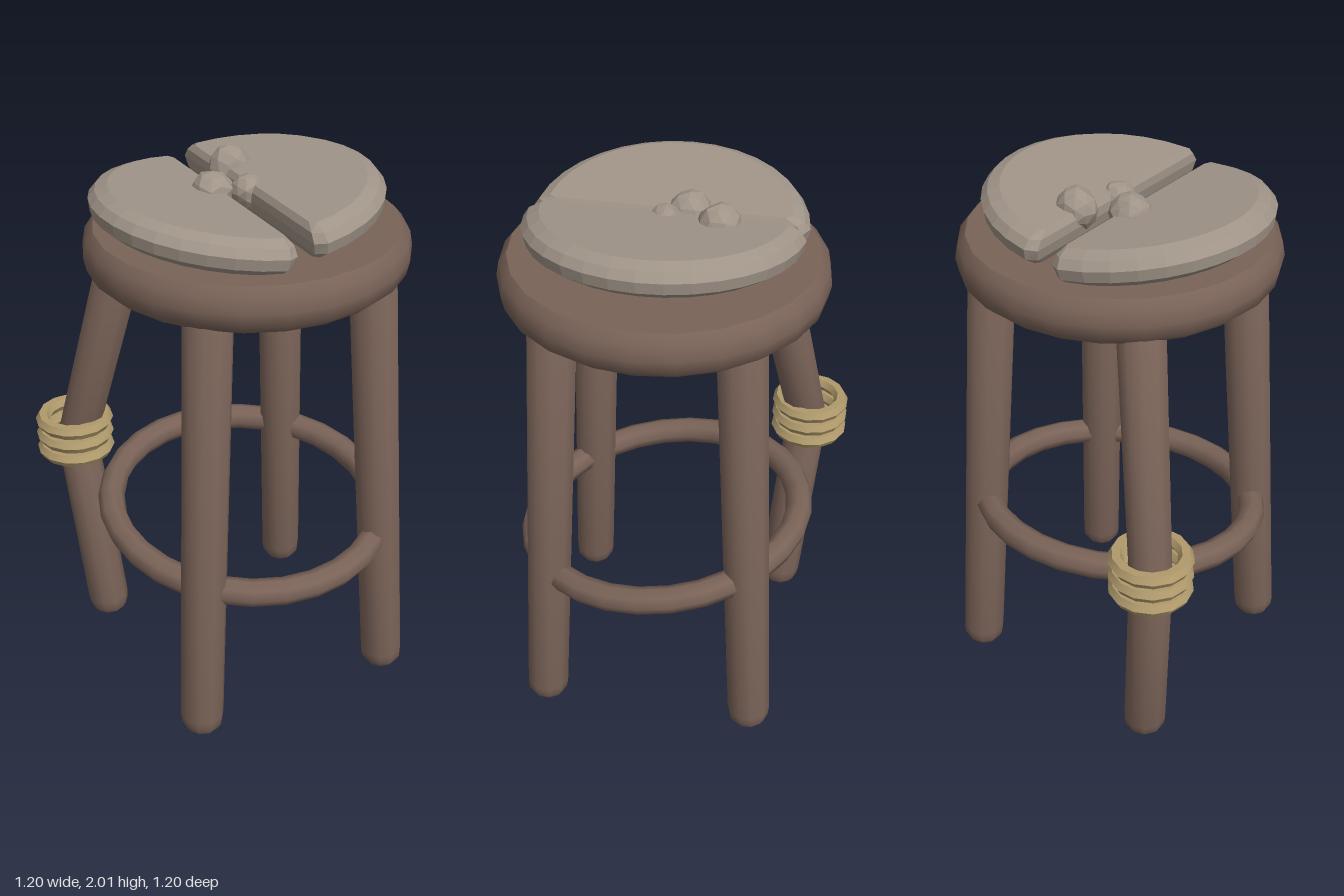
import * as THREE from 'three';
import { toCreasedNormals } from 'three/addons/utils/BufferGeometryUtils.js';

const CX = 0.035, CZ = 0.03; // centre of the stool body
const V2 = (x, y) => new THREE.Vector2(x, y);
const V3 = (x, y, z) => new THREE.Vector3(x, y, z);

function material(name, color) {
  const m = new THREE.MeshStandardMaterial({ color });
  m.name = name;
  return m;
}

function part(parent, name, geometry, mat) {
  const mesh = new THREE.Mesh(geometry, mat);
  mesh.name = name;
  parent.add(mesh);
  return mesh;
}

function lathe(points, sides, crease = 0.7) {
  return toCreasedNormals(new THREE.LatheGeometry(points, sides), crease);
}

// Round post with softened ends, standing between two points
function post(parent, name, from, to, r0, r1, mat) {
  const length = from.distanceTo(to);
  const profile = [
    V2(0, 0), V2(r0 * 0.75, 0), V2(r0 * 0.95, 0.025), V2(r0, 0.06),
    V2(r1, length - 0.04), V2(r1 * 0.8, length), V2(0, length),
  ];
  const mesh = part(parent, name, lathe(profile, 10, 0.8), mat);
  mesh.position.copy(from);
  mesh.quaternion.setFromUnitVectors(V3(0, 1, 0), to.clone().sub(from).normalize());
  return mesh;
}

function flat(positions) {
  const g = new THREE.BufferGeometry();
  g.setAttribute('position', new THREE.Float32BufferAttribute(positions, 3));
  g.computeVertexNormals();
  return g;
}

// Half disc with a straight cut at x = 0 and a bevelled rim, lofted in levels
function halfSlab() {
  const levels = [[0, 0.42, 0.02], [0.03, 0.465, 0.005], [0.07, 0.475, 0],
    [0.1, 0.455, 0.005], [0.12, 0.415, 0.02]];
  const segments = 16;
  const rings = levels.map(([y, r, cut]) => {
    const ring = [V3(cut, y, -(r - 0.025))];
    const span = Math.PI / 2 - 0.08;
    for (let i = 0; i <= segments; i++) {
      const a = -span + (2 * span * i) / segments;
      ring.push(V3(Math.cos(a) * r, y, Math.sin(a) * r));
    }
    ring.push(V3(cut, y, r - 0.025));
    return ring;
  });
  const out = [];
  const tri = (...pts) => pts.forEach((p) => out.push(p.x, p.y, p.z));
  const n = rings[0].length;
  const top = rings[rings.length - 1];
  const topMid = V3(0.2, levels[4][0], 0), lowMid = V3(0.2, 0, 0);
  for (let i = 0; i < n; i++) {
    const j = (i + 1) % n;
    for (let k = 0; k < rings.length - 1; k++) {
      const a = rings[k], b = rings[k + 1];
      tri(a[i], b[i], a[j]);
      tri(a[j], b[i], b[j]);
    }
    tri(topMid, top[j], top[i]);
    tri(lowMid, rings[0][i], rings[0][j]);
  }
  return flat(out);
}

// Faceted chip, dented by a smooth rule so shared corners stay joined
function pebble(radius, seed) {
  const g = new THREE.IcosahedronGeometry(radius, 1);
  const p = g.attributes.position;
  const v = V3(0, 0, 0);
  for (let i = 0; i < p.count; i++) {
    v.fromBufferAttribute(p, i);
    const u = v.clone().divideScalar(radius);
    v.multiplyScalar(1 + 0.1 * Math.sin(u.x * 5 + seed) * Math.cos(u.y * 4 + seed * 2 + u.z * 5));
    p.setXYZ(i, v.x, v.y, v.z);
  }
  g.computeVertexNormals();
  return g;
}

export function createModel() {
  const model = new THREE.Group();
  model.name = 'brokenStool';
  const wood = material('brownWood', 0x7a6358);
  const stone = material('greyStone', 0xa09488);
  const brass = material('dullBrass', 0xb09a6c);

  // Seat board
  const seat = part(model, 'seat', lathe([
    V2(0, 1.64), V2(0.515, 1.64), V2(0.555, 1.675), V2(0.565, 1.725),
    V2(0.555, 1.775), V2(0.527, 1.807), V2(0, 1.807),
  ], 24), wood);
  seat.position.set(CX, 0, CZ);

  // Three straight splayed legs
  const legs = [['frontLeftLeg', 1, 1], ['frontRightLeg', -1, 1], ['backLeftLeg', 1, -1]];
  for (const [name, sx, sz] of legs) {
    post(model, name,
      V3(CX + sx * 0.4, 0.008, CZ + sz * 0.4),
      V3(CX + sx * 0.313, 1.68, CZ + sz * 0.313), 0.08, 0.085, wood);
  }

  // Snapped leg in two bent pieces
  post(model, 'brokenLegLower', V3(-0.38, 0.008, -0.38), V3(-0.452, 0.86, -0.455), 0.08, 0.078, wood);
  post(model, 'brokenLegUpper', V3(-0.452, 0.8, -0.455), V3(-0.28, 1.68, -0.285), 0.078, 0.085, wood);

  // Tilted foot ring
  const footRing = part(model, 'footRing', new THREE.TorusGeometry(0.512, 0.05, 8, 28), wood);
  footRing.position.set(CX, 0.663, CZ);
  footRing.rotation.x = Math.PI / 2 + 0.13;

  // Three bands binding the snapped leg
  const bands = new THREE.Group();
  bands.name = 'repairBands';
  bands.position.set(-0.453, 0.845, -0.458);
  model.add(bands);
  const bandGeometry = toCreasedNormals(new THREE.TorusGeometry(0.121, 0.028, 6, 14), 0.6);
  for (let i = -1; i <= 1; i++) {
    const band = part(bands, 'repairBand', bandGeometry, brass);
    band.rotation.x = Math.PI / 2;
    band.position.y = i * 0.061;
  }

  // Two halves of the cracked top slab, each tipped up at its outer edge
  const slab = halfSlab();
  const left = part(model, 'leftSlab', slab, stone);
  left.position.set(0.033, 1.822, CZ);
  left.rotation.z = 0.11;
  const right = part(model, 'rightSlab', slab, stone);
  right.position.set(-0.042, 1.793, CZ);
  right.rotation.set(0, Math.PI, 0.13);

  // Loose chips along the crack
  const chips = [[0.07, 1.932, -0.16, 0.073], [-0.06, 1.9, -0.04, 0.075], [0.037, 1.91, 0.025, 0.058]];
  chips.forEach(([x, y, z, r], i) => {
    part(model, 'stoneChip', pebble(r, i * 1.7 + 0.5), stone).position.set(x, y, z);
  });

  return model;
}
